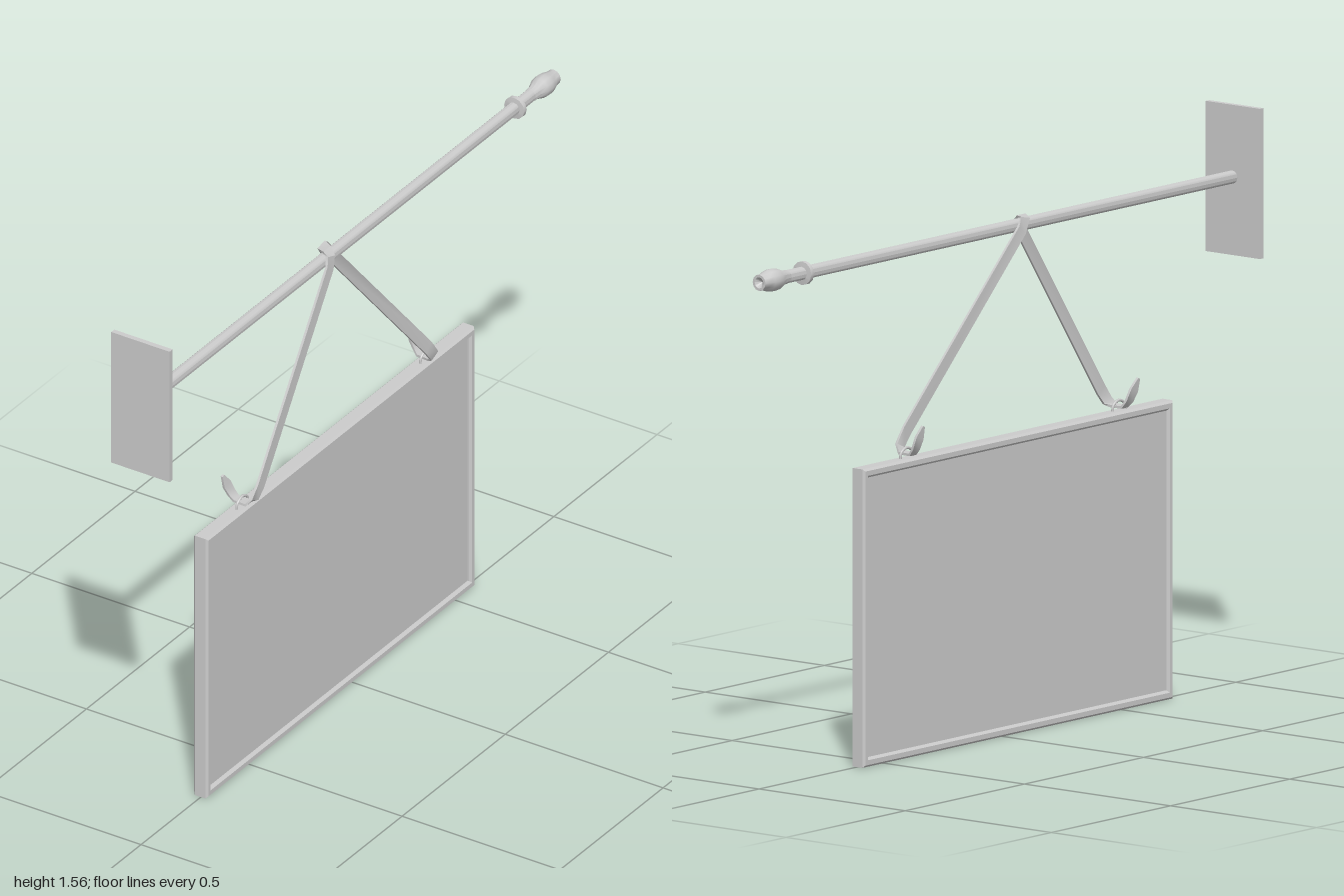
import * as THREE from 'three';
import { toCreasedNormals } from 'three/addons/utils/BufferGeometryUtils.js';

const material = new THREE.MeshStandardMaterial({ color: 0xcccccc, side: THREE.DoubleSide });

function add(parent, name, geometry, x = 0, y = 0, z = 0) {
  const mesh = new THREE.Mesh(geometry, material);
  mesh.name = name;
  mesh.position.set(x, y, z);
  parent.add(mesh);
  return mesh;
}

// Flat strap: each section is [x, y, z, width direction y, width direction z, width]
function strapGeometry(sections, thickness) {
  const at = sections.map((s) => new THREE.Vector3(s[0], s[1], s[2]));
  const last = at.length - 1;
  const positions = [], index = [];
  sections.forEach((s, i) => {
    const tangent = at[Math.min(i + 1, last)].clone().sub(at[Math.max(i - 1, 0)]).normalize();
    const across = new THREE.Vector3(0, s[3], s[4]).normalize();
    const normal = tangent.clone().cross(across).normalize();
    for (const [a, b] of [[1, 1], [-1, 1], [-1, -1], [1, -1]]) {
      const p = at[i].clone().addScaledVector(across, a * s[5] / 2).addScaledVector(normal, b * thickness / 2);
      positions.push(p.x, p.y, p.z);
    }
    if (i < last) {
      for (let k = 0; k < 4; k++) {
        const a = i * 4 + k, b = i * 4 + (k + 1) % 4;
        index.push(a, a + 4, b, b, a + 4, b + 4);
      }
    }
  });
  const e = last * 4;
  index.push(0, 1, 2, 0, 2, 3, e, e + 2, e + 1, e, e + 3, e + 2);
  const geometry = new THREE.BufferGeometry();
  geometry.setAttribute('position', new THREE.Float32BufferAttribute(positions, 3));
  geometry.setIndex(index);
  return toCreasedNormals(geometry, 0.7);
}

function rectangle(target, x0, y0, x1, y1) {
  target.moveTo(x0, y0);
  target.lineTo(x1, y0);
  target.lineTo(x1, y1);
  target.lineTo(x0, y1);
  target.closePath();
  return target;
}

export function createModel() {
  const model = new THREE.Group();
  model.name = 'hangingSign';
  const poleY = 1.365;

  // Wall plate
  add(model, 'wallPlate', new THREE.BoxGeometry(0.185, 0.405, 0.015), -0.002, 1.357, 0.9925);

  // Pole with collar and finial, turned around the z axis
  const turned = (profile) => toCreasedNormals(
    new THREE.LatheGeometry(profile.map(([r, d]) => new THREE.Vector2(r, d)), 12).rotateX(-Math.PI / 2), 0.6);
  add(model, 'pole', turned([[0, -0.99], [0.018, -0.99], [0.018, 0.91], [0, 0.91]]), 0, poleY);
  add(model, 'collar', turned([[0.016, 0.806], [0.032, 0.808], [0.032, 0.82], [0.016, 0.822]]), 0, poleY);
  add(model, 'finial', turned([
    [0.018, 0.885], [0.02, 0.905], [0.029, 0.93], [0.031, 0.95], [0.029, 0.965],
    [0.023, 0.985], [0.022, 1], [0.015, 1], [0, 0.985],
  ]), 0, poleY);

  // Sign: chamfered frame around a recessed panel
  const sign = new THREE.Group();
  sign.name = 'sign';
  model.add(sign);
  const outline = rectangle(new THREE.Shape(), -0.71, 0, 0.59, 0.805);
  outline.holes.push(rectangle(new THREE.Path(), -0.687, 0.025, 0.567, 0.78));
  const bevel = 0.006;
  const frame = new THREE.ExtrudeGeometry(outline, {
    depth: 0.045 - 2 * bevel, bevelThickness: bevel, bevelSize: bevel, bevelOffset: -bevel, bevelSegments: 1,
  });
  frame.translate(0, 0, -0.025 + bevel).rotateY(Math.PI / 2);
  add(sign, 'frame', frame);
  add(sign, 'panel', new THREE.BoxGeometry(0.025, 0.765, 1.264), -0.0025, 0.4025, 0.06);

  // Staples on the top edge that the strap passes through
  for (const z of [0.51, -0.38]) {
    const staple = new THREE.CatmullRomCurve3([
      [-0.027, 0], [-0.024, 0.018], [0, 0.03], [0.024, 0.018], [0.027, 0],
    ].map(([dz, dy]) => new THREE.Vector3(0, dy, dz)));
    add(sign, 'staple', new THREE.TubeGeometry(staple, 12, 0.004, 6), 0, 0.802, z);
  }

  // One strap: loose end, staple, up over the pole, down, staple, loose end
  add(model, 'strap', strapGeometry([
    [-0.046, 0.893, 0.535, -0.4, 1, 0.008],
    [-0.041, 0.862, 0.522, -0.4, 1, 0.03],
    [-0.034, 0.832, 0.51, -0.2, 1, 0.028],
    [-0.02, 0.816, 0.508, 0, 1, 0.028],
    [0.018, 0.816, 0.508, 0, 1, 0.03],
    [0.032, 0.828, 0.5, 0.4, 0.9, 0.034],
    [0.036, 0.86, 0.478, 0.6, 0.79, 0.036],
    [0.023, 1.35, 0.122, 0.6, 0.79, 0.036],
    [0.018, 1.378, 0.11, 0.3, 0.9, 0.036],
    [0, 1.388, 0.1, 0, 1, 0.036],
    [-0.025, 1.386, 0.085, -0.2, 1, 0.036],
    [-0.038, 1.36, 0.055, -0.65, 0.76, 0.036],
    [0.031, 0.87, -0.342, -0.65, 0.76, 0.036],
    [0.032, 0.832, -0.37, -0.4, 0.9, 0.034],
    [0.018, 0.816, -0.378, 0, 1, 0.03],
    [-0.02, 0.816, -0.38, 0, 1, 0.028],
    [-0.034, 0.832, -0.385, -0.2, 1, 0.028],
    [-0.041, 0.862, -0.378, -0.4, 1, 0.03],
    [-0.046, 0.893, -0.368, -0.4, 1, 0.008],
  ], 0.007));

  return model;
}
